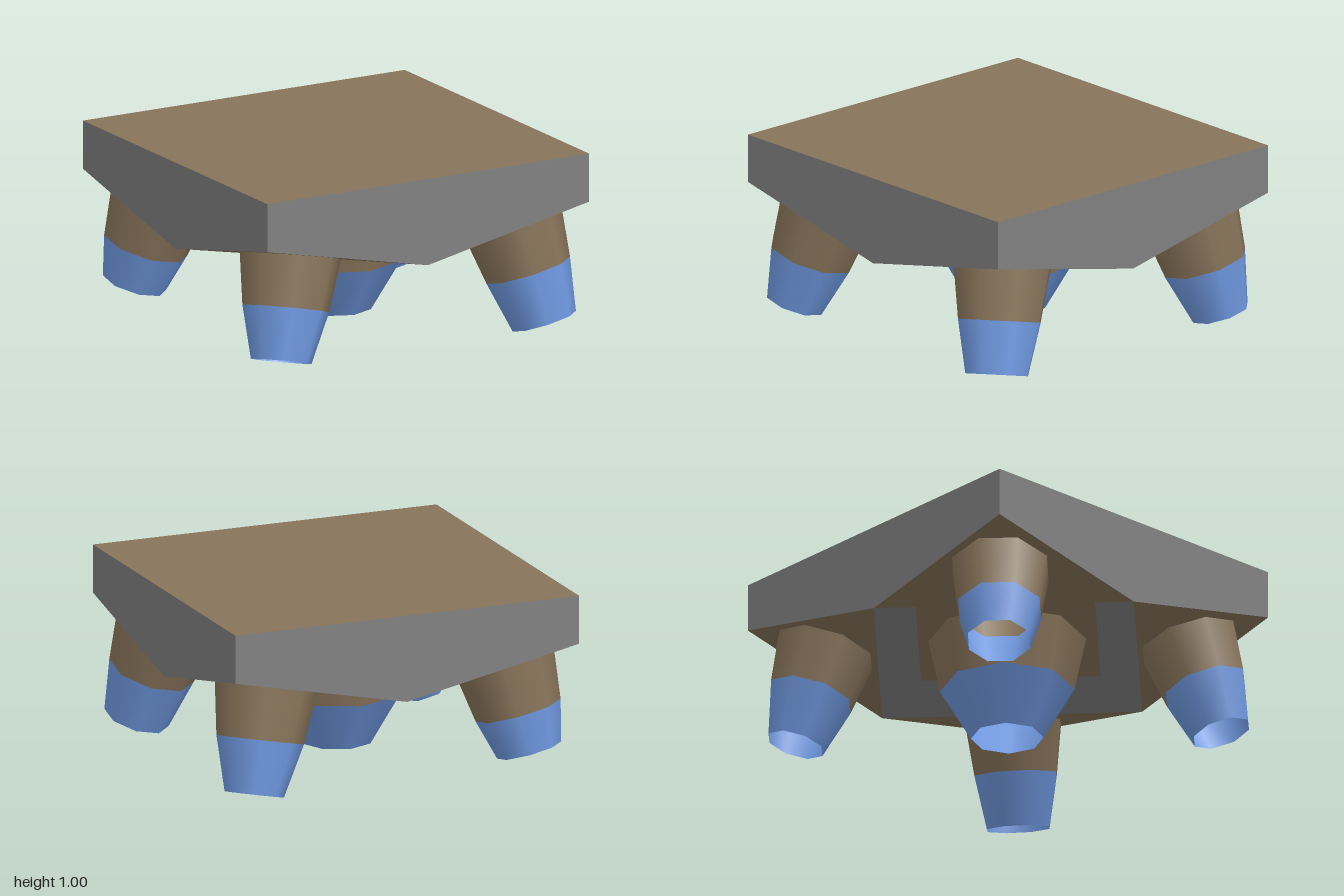
import * as THREE from 'three';

const DEPTH = 0.973; // half depth; half width is 1

// Flat polygons, each a convex loop of [x, y, z] corners
function polygons(name, loops, material) {
  const pos = [];
  for (const p of loops)
    for (let i = 1; i < p.length - 1; i++)
      for (const c of [p[0], p[i], p[i + 1]]) pos.push(c[0], c[1], c[2] * DEPTH);
  const g = new THREE.BufferGeometry();
  g.setAttribute('position', new THREE.Float32BufferAttribute(pos, 3));
  g.computeVertexNormals();
  const mesh = new THREE.Mesh(g, material);
  mesh.name = name;
  return mesh;
}

// The same loop turned in four quarter steps around y
function around(loop) {
  const out = [loop];
  for (let i = 0; i < 3; i++) out.push(out[i].map(([x, y, z]) => [z, y, -x]));
  return out;
}

// Open eight-sided funnel hanging down -y from its origin:
// collar from y0 to y1, nozzle from y1 to y2, turned by twist
function thruster(name, [y0, y1, y2], [r0, r1, r2], twist, collarMat, nozzleMat) {
  const group = new THREE.Group();
  group.name = name;
  const section = (part, ya, yb, ra, rb, mat) => {
    const g = new THREE.CylinderGeometry(ra, rb, ya - yb, 8, 1, true, twist);
    const mesh = new THREE.Mesh(g, mat);
    mesh.position.y = (ya + yb) / 2;
    mesh.name = part;
    group.add(mesh);
  };
  section('collar', y0, y1, r0, r1, collarMat);
  section('nozzle', y1, y2, r1, r2, nozzleMat);
  return group;
}

export function createModel() {
  const brown = new THREE.MeshStandardMaterial({ color: 0x88745a, side: THREE.DoubleSide });
  brown.name = 'brown';
  const grey = new THREE.MeshStandardMaterial({ color: 0x808080 });
  grey.name = 'grey';
  const blue = new THREE.MeshStandardMaterial({ color: 0x709ae2, side: THREE.DoubleSide });
  blue.name = 'blue';

  const model = new THREE.Group();
  model.name = 'platform';
  const top = 0.996, edge = 0.729, low = 0.517, ceil = 0.632, s = 0.69;

  // Slab: square top, pointed sides, sloping corners, diamond recess underneath
  const slab = new THREE.Group();
  slab.name = 'slab';
  slab.position.z = -0.005;
  slab.add(
    polygons('topDeck', [[[-1, top, 1], [1, top, 1], [1, top, -1], [-1, top, -1]]], brown),
    polygons('sideWalls', around(
      [[0, low, 1], [1, edge, 1], [1, top, 1], [-1, top, 1], [-1, edge, 1]]), grey),
    polygons('cornerSlopes', around([[1, edge, 1], [0, low, 1], [1, low, 0]]), brown),
    polygons('recessWalls', around(
      [[1, low, 0], [0, low, 1], [0, ceil, s], [s, ceil, 0]]), grey),
    polygons('recessCeiling', [
      [[s, ceil, 0], [0, ceil, s], [-s, ceil, 0], [0, ceil, -s]]], brown));
  model.add(slab);

  // Large central thruster
  const centre = thruster('centreThruster', [ceil, 0.335, 0.053], [0.423, 0.361, 0.196], 0, brown, blue);
  centre.position.z = -0.01;
  model.add(centre);

  // Corner thrusters, each splayed outward and slightly different:
  // name, root x and z, slope in x and z, length, mouth radius
  const corners = [
    ['frontLeftThruster', 0.7, 0.67, 0.21, 0.26, 0.57, 0.179],
    ['backLeftThruster', 0.7, -0.688, 0.21, -0.205, 0.575, 0.16],
    ['frontRightThruster', -0.688, 0.68, -0.235, 0.22, 0.565, 0.165],
    ['backRightThruster', -0.688, -0.688, -0.21, -0.21, 0.505, 0.178],
  ];
  const down = new THREE.Vector3(0, -1, 0);
  for (const [name, x, z, dx, dz, length, mouth] of corners) {
    const leg = thruster(name, [0.03, -0.28, -length], [0.279, 0.236, mouth], Math.PI / 8, brown, blue);
    leg.position.set(x, low + 0.21 * (Math.abs(x) + Math.abs(z) - 1), z);
    leg.quaternion.setFromUnitVectors(down, new THREE.Vector3(dx, -1, dz).normalize());
    model.add(leg);
  }
  return model;
}
